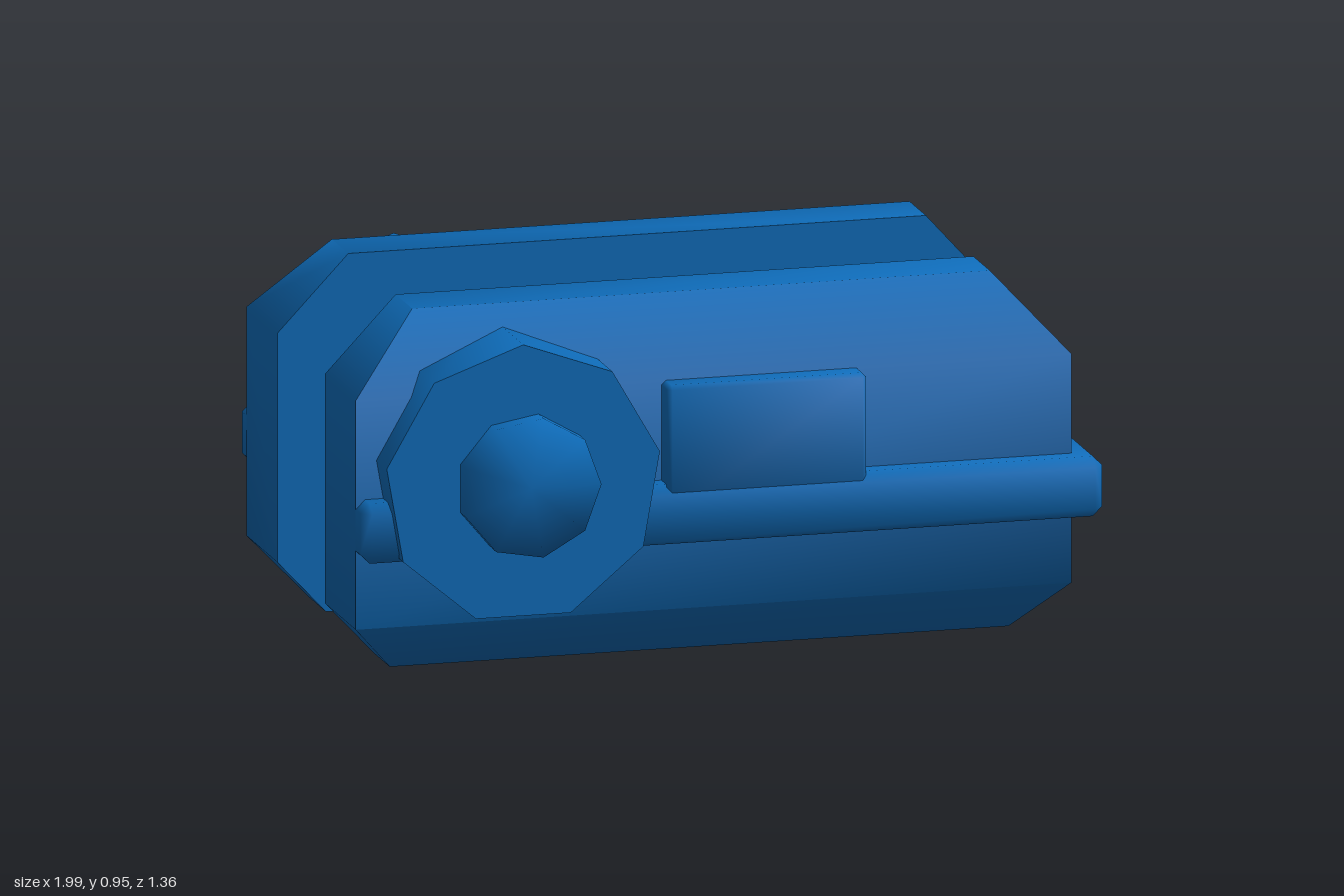
import * as THREE from 'three';
import { toCreasedNormals, mergeVertices } from 'three/addons/utils/BufferGeometryUtils.js';
import { ConvexGeometry } from 'three/addons/geometries/ConvexGeometry.js';

const blue = new THREE.MeshStandardMaterial({ color: 0x0e6bb8 });
blue.name = 'blue';

const v = (x, y, z) => new THREE.Vector3(x, y, z);
const hull = (points, crease = 1.1) => toCreasedNormals(new ConvexGeometry(points), crease);

function add(parent, name, geometry) {
  const mesh = new THREE.Mesh(geometry, blue);
  mesh.name = name;
  parent.add(mesh);
  return mesh;
}

// Box between two corners with every edge bevelled by b
function bevelBox([x0, x1], [y0, y1], [z0, z1], b) {
  const points = [];
  for (const [x, i] of [[x0, 1], [x1, -1]])
    for (const [y, j] of [[y0, 1], [y1, -1]])
      for (const [z, k] of [[z0, 1], [z1, -1]])
        points.push(v(x, y + j * b, z + k * b), v(x + i * b, y, z + k * b), v(x + i * b, y + j * b, z));
  return hull(points);
}

// Nine-sided disc along z, with one corner at the given angle
function disc(radius, x, y, z0, z1, angle, smooth) {
  let g = new THREE.CylinderGeometry(radius, radius, z1 - z0, 9);
  g.rotateX(Math.PI / 2);
  g.rotateZ(angle);
  g.translate(x, y, (z0 + z1) / 2);
  if (smooth) {
    g.deleteAttribute('normal');
    g.deleteAttribute('uv');
    g = mergeVertices(g);
    g.computeVertexNormals();
    return g;
  }
  return toCreasedNormals(g, 0.9);
}

// Side block: clipped corners, sloped towards its outer face
function blockShape(s) {
  const outline = [[-1, 0.14], [-0.87, 0], [0.79, 0], [0.92, 0.14],
    [0.92, 0.75], [0.74, 0.95], [-0.81, 0.95], [-1, 0.75]];
  const points = [];
  for (const [x, y] of outline) {
    const onEnd = y > 0.1 && y < 0.9;
    points.push(v(x, y, s * 0.23), v(x, y, s * (onEnd ? 0.53 : 0.39)));
  }
  return hull(points);
}

export function createModel() {
  const model = new THREE.Group();
  model.name = 'twinBlockLinkage';

  for (const s of [1, -1]) {
    const side = new THREE.Group();
    side.name = s > 0 ? 'frontSide' : 'backSide';
    model.add(side);
    const zs = (a, b) => (s > 0 ? [a, b] : [-b, -a]);

    add(side, 'sideBlock', blockShape(s));
    add(side, 'sideRail', bevelBox([-1, 0.99], [0.325, 0.485], zs(0.235, 0.6), 0.025));
    add(side, 'raisedPanel', bevelBox([-0.18, 0.355], [0.4, 0.75], zs(0.4, 0.595), 0.012));
    add(side, 'wheelDisc', disc(0.372, -0.578, 0.523, ...zs(0.3, 0.63), Math.PI / 2 + Math.PI / 2, false));
  }

  // Axle running through both discs
  add(model, 'axle', disc(0.188, -0.57, 0.523, -0.68, 0.68, Math.PI / 2, true));

  // Bridge joining the two blocks
  add(model, 'bridge', bevelBox([-0.5, 0.6], [0.34, 0.6], [-0.25, 0.25], 0.01));

  return model;
}
